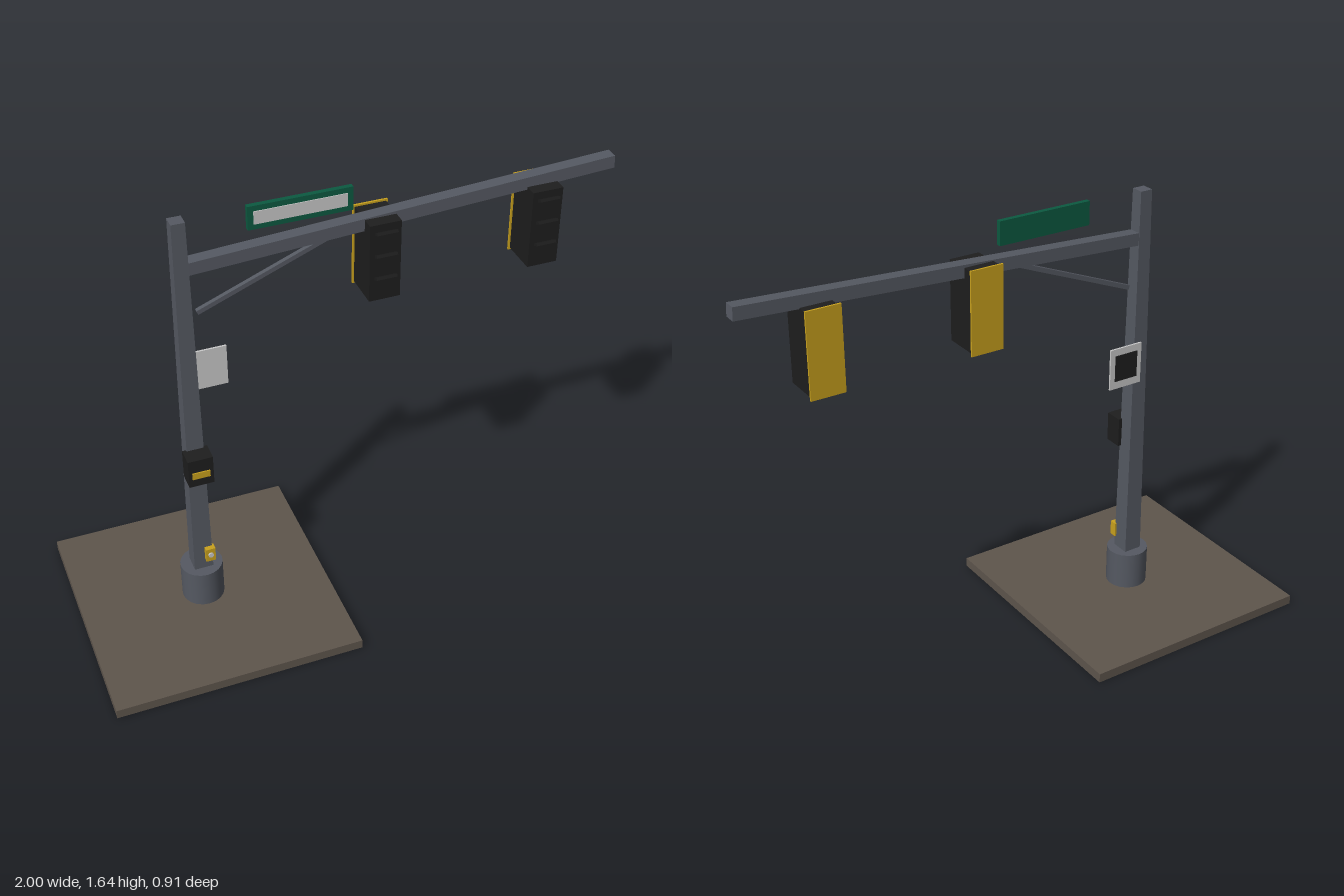
import * as THREE from 'three';

const mat = (name, color) => {
  const m = new THREE.MeshStandardMaterial({ color });
  m.name = name;
  return m;
};

export function createModel() {
  const root = new THREE.Group();
  root.name = 'trafficSignalPole';

  const steel = mat('steelGrey', 0x555962);
  const paving = mat('pavingBrown', 0x5e554c);
  const black = mat('housingBlack', 0x1e1e1e);
  const yellow = mat('signalYellow', 0xc9a11d);
  const green = mat('signGreen', 0x0c5a41);
  const white = mat('panelWhite', 0xc9c9c9);

  const add = (name, geo, m, x, y, z, parent = root) => {
    const mesh = new THREE.Mesh(geo, m);
    mesh.name = name;
    mesh.position.set(x, y, z);
    parent.add(mesh);
    return mesh;
  };
  const box = (name, w, h, d, m, x, y, z, parent) =>
    add(name, new THREE.BoxGeometry(w, h, d), m, x, y, z, parent);

  // Square bar between two points in the plane z = 0
  const bar = (name, x0, y0, x1, y1, h, d) => {
    const b = box(name, Math.hypot(x1 - x0, y1 - y0), h, d, steel, (x0 + x1) / 2, (y0 + y1) / 2, 0);
    b.rotation.z = Math.atan2(y1 - y0, x1 - x0);
  };

  const px = -0.547; // pole axis

  // Ground slab and round footing
  box('groundSlab', 0.91, 0.036, 0.91, paving, -0.545, 0.018, 0);
  add('footing', new THREE.CylinderGeometry(0.078, 0.078, 0.147, 20), steel, px, 0.1085, 0);

  // Tapered square pole
  const poleGeo = new THREE.BoxGeometry(1, 1.48, 1);
  const p = poleGeo.attributes.position;
  for (let i = 0; i < p.count; i++) {
    const w = p.getY(i) > 0 ? 0.047 : 0.071;
    p.setX(i, p.getX(i) * w);
    p.setZ(i, p.getZ(i) * w);
  }
  poleGeo.computeVertexNormals();
  add('pole', poleGeo, steel, px, 0.895, 0);

  // Mast arm and diagonal brace
  bar('mastArm', -0.535, 1.461, 0.999, 1.544, 0.046, 0.046);
  bar('brace', -0.5, 1.28, 0.0, 1.481, 0.016, 0.016);

  // Signal heads with yellow backplates and tilted visors
  for (const x of [0.134, 0.725]) {
    const head = new THREE.Group();
    head.name = 'signalHead';
    head.position.set(x, 1.367, 0);
    root.add(head);
    box('signalHousing', 0.112, 0.292, 0.136, black, 0, 0, 0, head);
    box('backplate', 0.125, 0.305, 0.007, yellow, 0, 0, -0.0705, head);
    for (const y of [0.115, 0.029, -0.057]) {
      const visor = box('visor', 0.074, 0.009, 0.032, black, 0, y, 0.073, head);
      visor.rotation.x = -0.45;
    }
  }

  // Street sign above the arm
  box('streetSign', 0.36, 0.086, 0.018, green, -0.137, 1.595, 0);
  box('streetSignFace', 0.32, 0.047, 0.004, white, -0.137, 1.595, 0.01);

  // Side panel behind the pole with a dark rear square
  box('sidePanel', 0.135, 0.157, 0.007, white, -0.458, 1.003, -0.057);
  box('sidePanelSquare', 0.095, 0.1, 0.004, black, -0.458, 1.005, -0.062);

  // Crossing signal box
  box('crossingBox', 0.09, 0.112, 0.068, black, px, 0.682, 0.057);
  box('crossingBoxStrip', 0.064, 0.026, 0.005, yellow, px, 0.673, 0.093);

  // Push button
  box('buttonHousing', 0.036, 0.056, 0.028, yellow, -0.523, 0.252, 0.04);
  const button = add('button', new THREE.CylinderGeometry(0.01, 0.01, 0.006, 16), white, -0.523, 0.254, 0.056);
  button.rotation.x = Math.PI / 2;

  return root;
}
